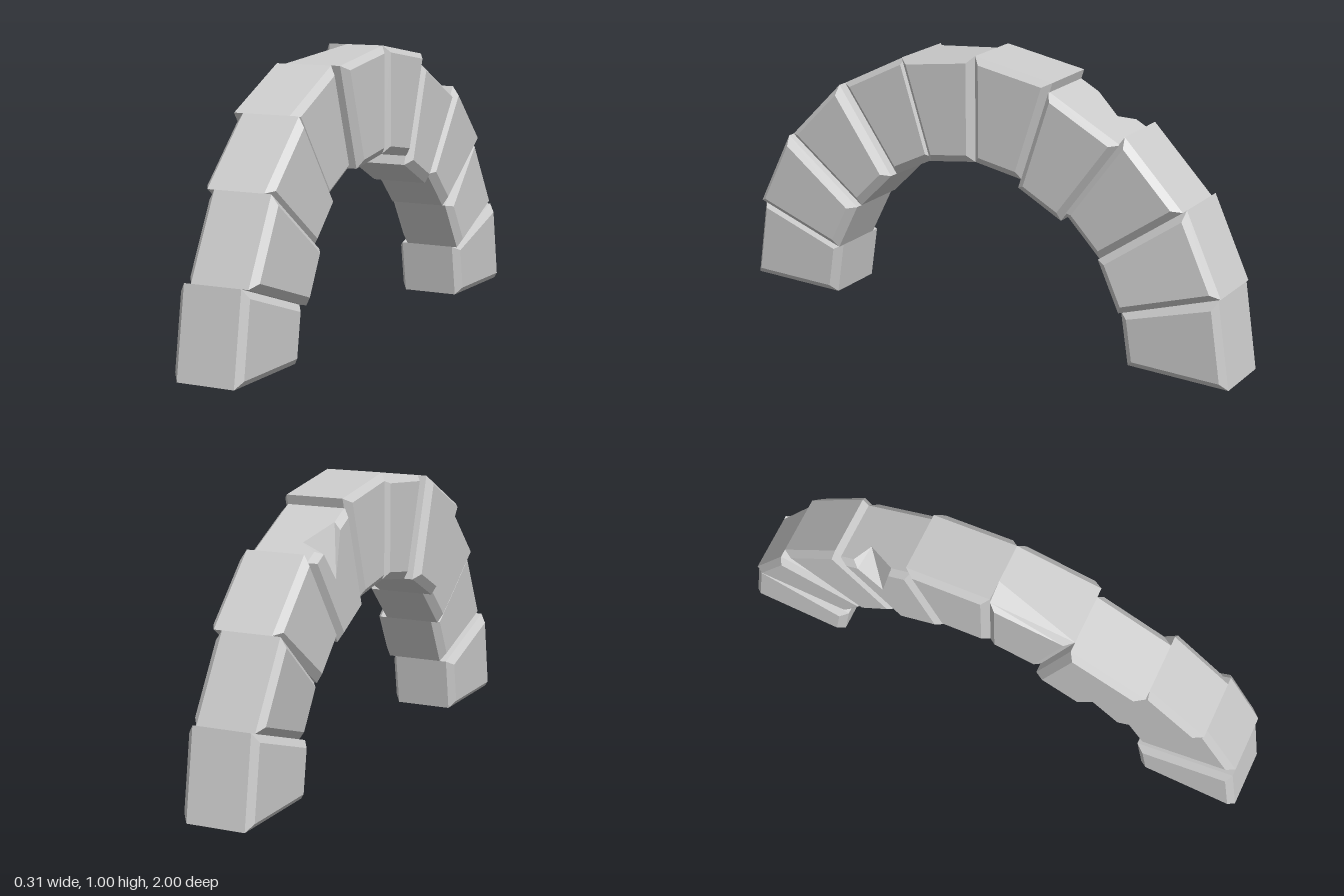
import * as THREE from 'three';

const COUNT = 10, STEP = Math.PI / COUNT;
const R_OUT = 1, R_IN = 0.62;      // arch radii
const MID = 0.005;                 // middle of the arch's thickness
const HALF = 0.127, FLAT = 0.105;  // half thickness, and where the bevel begins
const BEVEL = 0.025;

// Per-stone displacement: dx sideways, dr radial, roll (x per r), yaw (x per tangent)
const SHIFTS = {
  1: { dx: 0.026 },
  3: { dx: -0.034 },
  6: { dr: -0.035 },
  8: { dx: -0.002, roll: -0.1, yaw: 0.05 },
};

// Point on the arch: angle 0 is the front foot, PI the back foot
const polar = (x, r, a) => new THREE.Vector3(x, r * Math.sin(a), r * Math.cos(a));
const mix = (a, b, t) => a.clone().lerp(b, t);

// Four layers across x, each a ring: outer start, outer end, inner end, inner start
function stoneLayers(index) {
  const { dx = 0, dr = 0, roll = 0, yaw = 0 } = SHIFTS[index] || {};
  const a0 = index * STEP, a1 = a0 + STEP, mid = (a0 + a1) / 2;
  return [[-HALF, BEVEL], [-FLAT, 0], [FLAT, 0], [HALF, BEVEL]].map(([x, inset]) => {
    const ro = R_OUT - inset, ri = R_IN + inset;
    return [[ro, a0, 1], [ro, a1, -1], [ri, a1, -1], [ri, a0, 1]].map(([r, a, s]) => {
      const angle = a + s * inset / r;
      const slide = dx + roll * (r - 0.8) + yaw * r * (angle - mid);
      const p = polar(MID + x + slide, r, angle);
      return p.add(polar(0, dr, mid));
    });
  });
}

function stoneGeometry(index) {
  const positions = [];
  // Fan of triangles from the first point
  const poly = (...p) => {
    for (let i = 1; i < p.length - 1; i++)
      for (const v of [p[0], p[i], p[i + 1]]) positions.push(v.x, v.y, v.z);
  };
  const layers = stoneLayers(index);
  const notched = index === 6, chipped = index === 4;
  const [side, left, right, far] = layers;
  let chip;
  if (chipped) {
    // Broken corner at the crown
    chip = mix(right[1], left[1], 0.66);
    left[1].y -= 0.028;
    side[1].y -= 0.015;
  }

  for (let l = 0; l < 3; l++) {
    for (let k = 0; k < 4; k++) {
      const n = (k + 1) % 4, A = layers[l], B = layers[l + 1];
      if (notched && k === 0 && l < 2) continue;
      if (chipped && l === 1 && k === 0) poly(chip, A[1], A[0], B[0], B[1]);
      else if (chipped && l === 1 && k === 1) poly(chip, B[1], B[2], A[2], A[1]);
      else poly(A[k], B[k], B[n], A[n]);
    }
  }
  poly(far[3], far[2], far[1], far[0]);

  if (notched) {
    // Wedge broken out of the outer edge
    const t0 = 0.27, t1 = 0.8;
    const b0 = mix(side[0], side[1], t0), b1 = mix(left[0], left[1], t0);
    const e0 = mix(side[0], side[1], t1), e1 = mix(left[0], left[1], t1);
    const c = mix(mix(left[0], left[1], 0.66), mix(right[0], right[1], 0.66), 0.29);
    const d = mix(mix(side[0], side[1], 0.7), mix(side[3], side[2], 0.7), 0.4);
    poly(c, b1, left[0], right[0], right[1], left[1], e1);
    poly(side[0], left[0], b1, b0);
    poly(e0, e1, left[1], side[1]);
    poly(d, e0, side[1], side[2], side[3], side[0], b0);
    poly(b1, c, d, b0);
    poly(c, e1, e0, d);
  } else {
    poly(...side);
  }

  const geometry = new THREE.BufferGeometry();
  geometry.setAttribute('position', new THREE.Float32BufferAttribute(positions, 3));
  geometry.computeVertexNormals();
  return geometry;
}

export function createModel() {
  const arch = new THREE.Group();
  arch.name = 'stoneArch';
  const material = new THREE.MeshStandardMaterial({ color: 0xcccccc, flatShading: true });
  for (let i = 0; i < COUNT; i++) {
    const stone = new THREE.Mesh(stoneGeometry(i), material);
    stone.name = `archStone${i + 1}`;
    arch.add(stone);
  }
  return arch;
}
